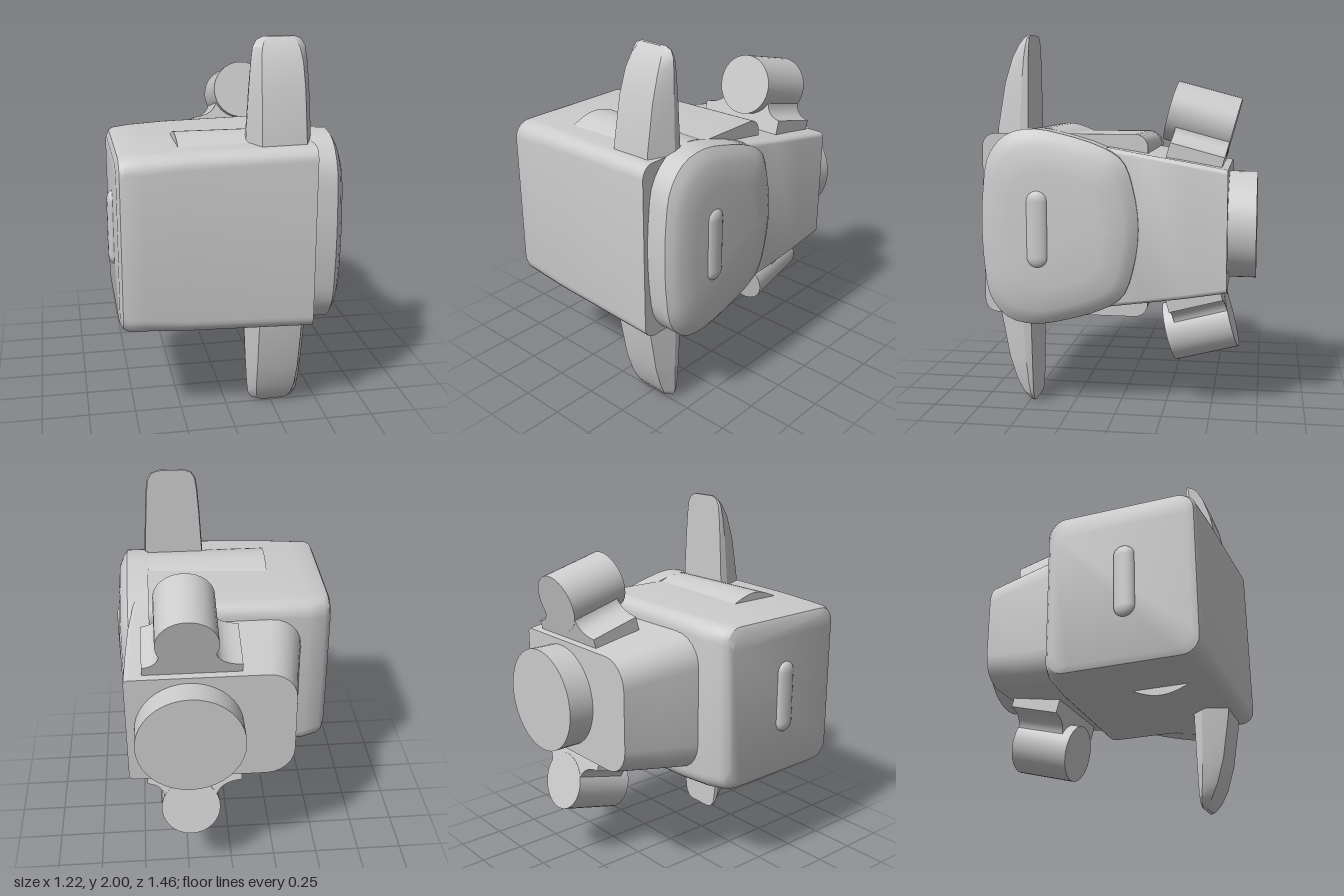
import * as THREE from 'three';
import { toCreasedNormals } from 'three/addons/utils/BufferGeometryUtils.js';

const grey = new THREE.MeshStandardMaterial({ color: 0xcccccc });

// Skin counter-clockwise convex rings [{ z, pts: [[x, y], ...] }] stacked along +z, with end caps
function loft(rings, crease = 0.5) {
  const n = rings[0].pts.length, pos = [], idx = [];
  rings.forEach(r => r.pts.forEach(p => pos.push(p[0], p[1], r.z)));
  for (let k = 0; k < rings.length - 1; k++) {
    for (let i = 0; i < n; i++) {
      const a = k * n + i, b = k * n + (i + 1) % n;
      idx.push(a, b, b + n, a, b + n, a + n);
    }
  }
  const e = (rings.length - 1) * n;
  for (let i = 1; i < n - 1; i++) idx.push(0, i + 1, i, e, e + i, e + i + 1);
  const g = new THREE.BufferGeometry();
  g.setAttribute('position', new THREE.Float32BufferAttribute(pos, 3));
  g.setIndex(idx);
  return toCreasedNormals(g, crease);
}

// Rounded rectangle, symmetric in y, with separate corner radii at its low-x and high-x sides
function roundRect(x0, x1, h, r0, r1, steps = 6) {
  const pts = [];
  const corners = [[x1 - r1, h - r1, r1], [x0 + r0, h - r0, r0], [x0 + r0, r0 - h, r0], [x1 - r1, r1 - h, r1]];
  corners.forEach(([cx, cy, r], q) => {
    for (let i = 0; i <= steps; i++) {
      const a = (q + i / steps) * Math.PI / 2;
      pts.push([cx + r * Math.cos(a), cy + r * Math.sin(a)]);
    }
  });
  return pts;
}

export function createModel() {
  const root = new THREE.Group();
  const core = new THREE.Group();
  core.name = 'pod';
  core.position.y = 1;
  root.add(core);
  const add = (name, geo) => {
    const m = new THREE.Mesh(geo, grey);
    m.name = name;
    core.add(m);
    return m;
  };
  const alongX = g => g.rotateY(Math.PI / 2); // ring x becomes -z

  // Main box, flaring slightly toward the side plate
  const box = [[-0.58, -0.67, 0.07, 0.42, 0.09], [-0.565, -0.7, 0.1, 0.45, 0.09], [-0.54, -0.71, 0.12, 0.46, 0.09],
    [-0.45, -0.713, 0.15, 0.465, 0.09], [-0.26, -0.717, 0.16, 0.472, 0.08], [0.415, -0.725, 0.165, 0.485, 0.07]];
  add('mainBody', alongX(loft(box.map(([z, x0, x1, h, r]) => ({ z, pts: roundRect(x0, x1, h, r, r) })))));

  // Side plate: rounded outline given as [-z, y] for its upper half
  const upper = [[0.13, 0], [0.105, 0.2], [0.05, 0.35], [-0.05, 0.42], [-0.25, 0.485], [-0.43, 0.515],
    [-0.57, 0.48], [-0.66, 0.37], [-0.69, 0.2], [-0.7, 0]];
  const lower = upper.slice(1, -1).reverse().map(([x, y]) => [x, -y]);
  const outline = new THREE.CatmullRomCurve3(
    [...upper, ...lower].map(([x, y]) => new THREE.Vector3(x, y, 0)), true).getPoints(48).slice(0, -1);
  const plate = [[0.41, 1], [0.53, 1], [0.555, 0.93], [0.575, 0.84], [0.588, 0.6]];
  add('sidePlate', alongX(loft(plate.map(([z, s]) => ({
    z, pts: outline.map(p => [-0.29 + (p.x + 0.29) * s, p.y * s]),
  })))));

  // Small upright bars on both sides
  for (const [x, z] of [[0.58, 0.39], [-0.58, 0.325]]) {
    const bar = add('sideBar', new THREE.CapsuleGeometry(0.057, 0.29, 6, 16));
    bar.scale.x = 0.5;
    bar.position.set(x, 0, z);
  }

  // Shallow arched ridge running through the box, showing above and below
  const arch = [];
  for (let i = 0; i <= 12; i++) {
    const t = i / 12;
    arch.push([-0.23 - 0.34 * t, 0.465 + 0.05 * Math.sin(Math.PI * t)]);
  }
  const ridge = [...arch, ...arch.map(([x, y]) => [x, -y]).reverse()];
  add('ridge', alongX(loft([{ z: -0.26, pts: ridge }, { z: 0.41, pts: ridge }])));

  // Tapered rear housing
  const neck = [[-0.585, -0.33, 0.555, 0.315, 0.15], [-0.38, -0.365, 0.545, 0.352, 0.16],
    [-0.17, -0.405, 0.53, 0.385, 0.17], [0.04, -0.43, 0.5, 0.42, 0.17]];
  add('rearHousing', loft(neck.map(([z, x0, x1, h, r]) => ({ z, pts: roundRect(x0, x1, h, r, 0.025) }))));

  // Rear disc
  const disc = add('rearDisc', toCreasedNormals(new THREE.CylinderGeometry(0.285, 0.285, 0.15, 40), 0.5));
  disc.rotation.x = Math.PI / 2;
  disc.position.set(0.228, 0, -0.655);

  // Fins above and below: flat back, chamfered front, thinning to the tip
  // rows: height, half width at back, half width at front, front z
  const finRows = [[0.4, 0.172, 0.115, 0.655], [0.52, 0.168, 0.113, 0.645], [0.75, 0.155, 0.11, 0.605],
    [0.88, 0.145, 0.105, 0.565], [0.95, 0.135, 0.095, 0.53], [0.985, 0.115, 0.08, 0.505], [1, 0.08, 0.06, 0.49]];
  const finGeo = loft(finRows.map(([z, b, f, zf]) => {
    const zm = 0.47 + (zf - 0.47) * 0.25;
    return { z, pts: [[-f, -zf], [f, -zf], [b, -zm], [b - 0.005, -0.47], [0.005 - b, -0.47], [-b, -zm]] };
  }), 0.35).rotateX(-Math.PI / 2);
  for (const s of [1, -1]) {
    const fin = add(s > 0 ? 'upperFin' : 'lowerFin', finGeo);
    fin.position.x = 0.26;
    if (s < 0) fin.rotation.z = Math.PI;
  }

  // Tilted thruster barrels on flared feet, above and below
  for (const s of [1, -1]) {
    const thruster = new THREE.Group();
    thruster.name = s > 0 ? 'upperThruster' : 'lowerThruster';
    thruster.position.set(0.23, 0.56 * s, -0.436);
    thruster.rotation.x = -s * Math.PI / 12;
    core.add(thruster);

    const barrel = new THREE.Mesh(
      toCreasedNormals(new THREE.CylinderGeometry(0.16, 0.16, 0.347, 32).rotateX(Math.PI / 2), 0.5), grey);
    barrel.name = 'barrel';

    const foot = new THREE.Shape();
    foot.moveTo(-0.28, -0.23 * s);
    foot.lineTo(0.23, -0.23 * s);
    foot.lineTo(0.23, -0.15 * s);
    foot.quadraticCurveTo(0.14, -0.14 * s, 0.14, -0.05 * s);
    foot.lineTo(-0.14, -0.05 * s);
    foot.quadraticCurveTo(-0.15, -0.14 * s, -0.28, -0.15 * s);
    const footGeo = new THREE.ExtrudeGeometry(foot, { depth: 0.29, bevelEnabled: false, curveSegments: 8 });
    const mount = new THREE.Mesh(toCreasedNormals(footGeo.translate(0, 0, -0.172), 0.5), grey);
    mount.name = 'foot';
    thruster.add(barrel, mount);
  }
  return root;
}
